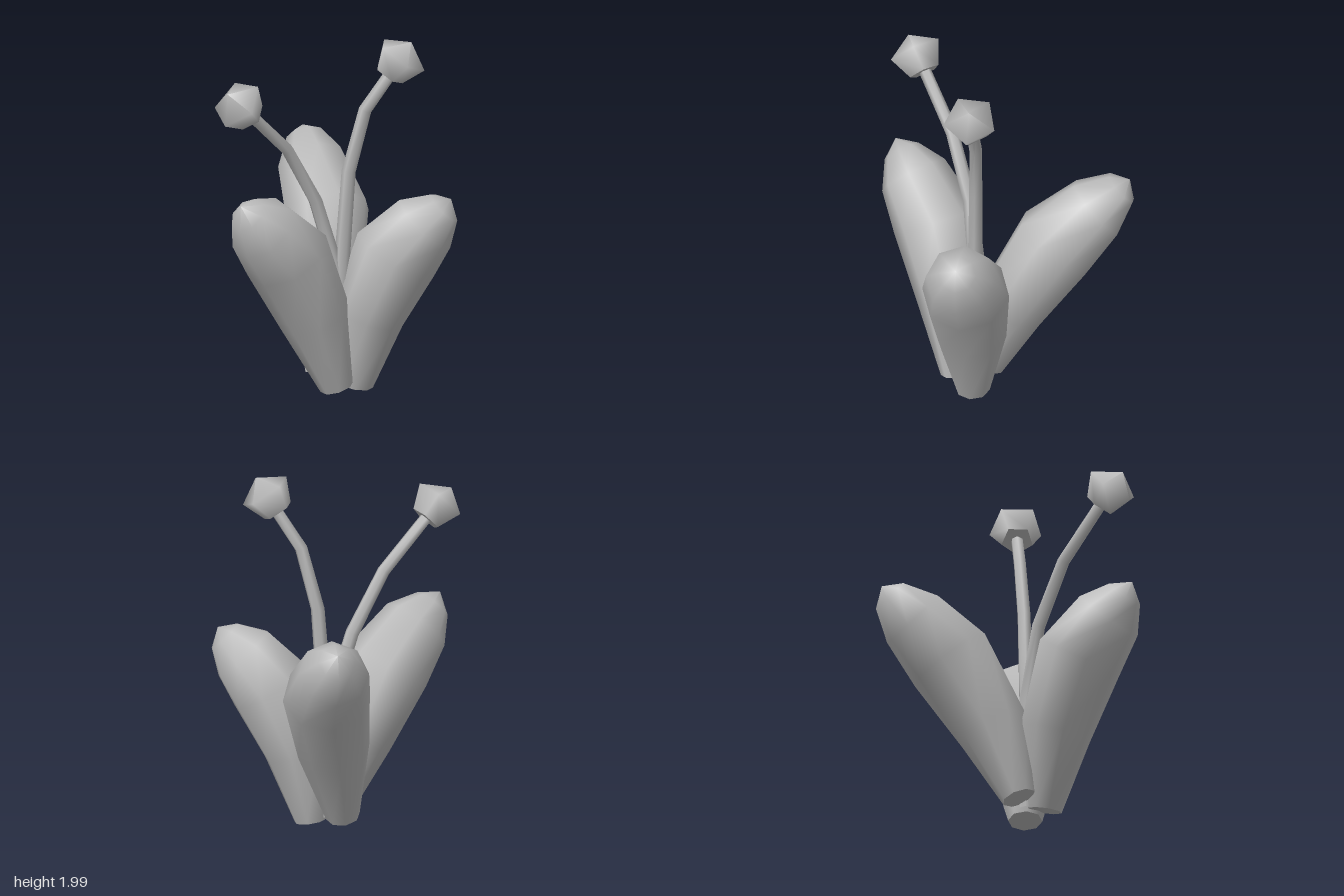
import * as THREE from 'three';
import { toCreasedNormals } from 'three/addons/utils/BufferGeometryUtils.js';

const V = (x, y, z) => new THREE.Vector3(x, y, z);

// Skin circular rings [x, y, z, radius] set across the path they follow
function loft(rings, sides, outward) {
  const centres = rings.map(([x, y, z]) => V(x, y, z));
  const last = rings.length - 1;
  const position = [], index = [];
  rings.forEach((ring, i) => {
    const t = centres[Math.min(i + 1, last)].clone().sub(centres[Math.max(i - 1, 0)]).normalize();
    const u = outward.clone().addScaledVector(t, -outward.dot(t)).normalize();
    const w = t.clone().cross(u);
    for (let j = 0; j < sides; j++) {
      const a = (j / sides) * Math.PI * 2;
      const p = centres[i].clone()
        .addScaledVector(u, ring[3] * Math.cos(a))
        .addScaledVector(w, ring[3] * Math.sin(a));
      position.push(p.x, p.y, p.z);
      if (i < last) {
        const p0 = i * sides + j, p1 = i * sides + (j + 1) % sides;
        index.push(p0, p1, p1 + sides, p0, p1 + sides, p0 + sides);
      }
    }
  });
  const geo = new THREE.BufferGeometry();
  geo.setAttribute('position', new THREE.Float32BufferAttribute(position, 3));
  geo.setIndex(index);
  return toCreasedNormals(geo, 1.1);
}

export function createModel() {
  const model = new THREE.Group();
  const grey = new THREE.MeshStandardMaterial({ color: 0xbababa });
  grey.name = 'plainGrey';

  const add = (parent, name, geometry) => {
    const mesh = new THREE.Mesh(geometry, grey);
    mesh.name = name;
    parent.add(mesh);
    return mesh;
  };

  // Thick leaves: ring centres from base to rounded tip
  const radii = [0.095, 0.2, 0.243, 0.195, 0.105, 0];
  const leaves = [
    { name: 'leftLeaf', out: V(1, 0, 0), path: [
      [0.09, 0.02, 0.13], [0.155, 0.42, 0.13], [0.31, 0.775, 0.13],
      [0.47, 0.955, 0.13], [0.575, 1.05, 0.13], [0.615, 1.1, 0.13]] },
    { name: 'backLeaf', out: V(-0.34, 0, -0.94), path: [
      [-0.1, 0.07, 0.08], [-0.08, 0.49, -0.06], [-0.09, 0.895, -0.3],
      [-0.18, 1.095, -0.515], [-0.225, 1.21, -0.645], [-0.24, 1.26, -0.69]] },
    { name: 'frontLeaf', out: V(-0.6, 0, 0.8), path: [
      [-0.01, 0.04, 0.23], [-0.13, 0.46, 0.28], [-0.28, 0.85, 0.4],
      [-0.41, 1.05, 0.55], [-0.485, 1.15, 0.63], [-0.52, 1.21, 0.67]] },
  ];
  for (const { name, out, path } of leaves) {
    const rings = path.map((p, i) => [...p, radii[i]]);
    rings.unshift([...path[0], 0]); // closes the base
    add(model, name, loft(rings, 8, out));
  }

  // Bent stems, each ending in a five-sided bud
  const stems = [
    { name: 'leftStem', out: V(1, 0, 0), head: V(0.32, 1.88, 0.1), path: [
      [0, 0.05, 0.13], [0.015, 0.75, 0.13], [0.05, 1.25, 0.12],
      [0.14, 1.6, 0.105], [0.3, 1.84, 0.1]] },
    { name: 'rightStem', out: V(-0.66, 0, 0.75), head: V(-0.525, 1.745, 0.545), path: [
      [0, 0.05, 0.13], [-0.02, 0.7, 0.13], [-0.13, 1.1, 0.185],
      [-0.28, 1.43, 0.31], [-0.5, 1.72, 0.52]] },
  ];
  const stemRadii = [0.045, 0.043, 0.039, 0.036, 0.034];
  const profile = [[0.09, -0.09], [0.15, 0.04], [0, 0.135]].map(([x, y]) => new THREE.Vector2(x, y));
  for (const { name, out, head, path } of stems) {
    const stem = new THREE.Group();
    stem.name = name;
    add(stem, 'stalk', loft(path.map((p, i) => [...p, stemRadii[i]]), 6, out));

    // Bud stands along the end of its stalk, one corner turned outward
    const axis = V(...path[4]).sub(V(...path[3])).normalize();
    const front = out.clone().addScaledVector(axis, -out.dot(axis)).normalize();
    const bud = new THREE.Group();
    bud.name = 'bud';
    add(bud, 'budShell', new THREE.LatheGeometry(profile, 5));
    const base = add(bud, 'budBase', new THREE.CircleGeometry(0.09, 5, Math.PI / 2));
    base.rotation.x = Math.PI / 2;
    base.position.y = -0.09;
    bud.quaternion.setFromRotationMatrix(
      new THREE.Matrix4().makeBasis(axis.clone().cross(front), axis, front));
    bud.position.copy(head);
    stem.add(bud);
    model.add(stem);
  }
  return model;
}
